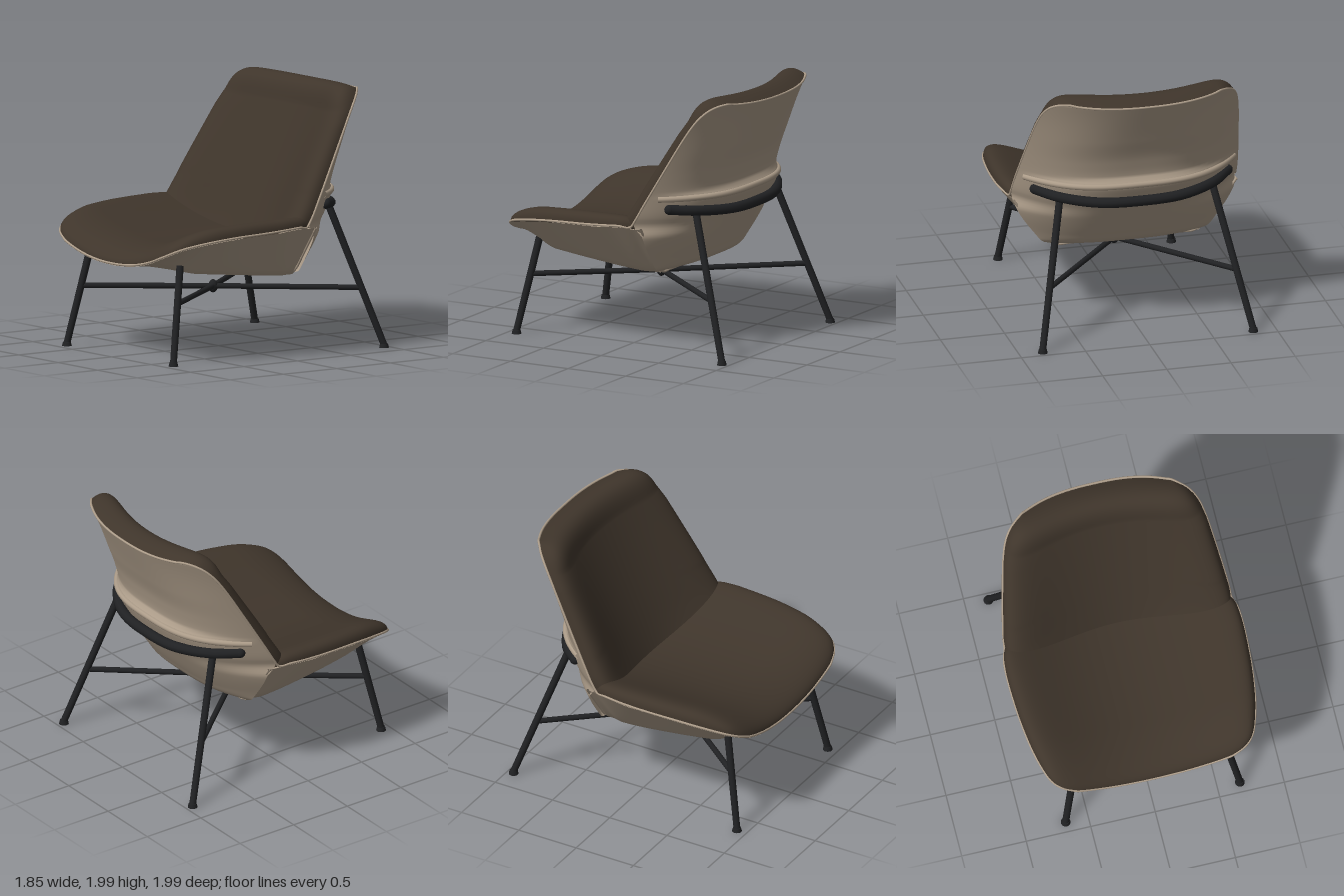
import * as THREE from 'three';

const mat = (name, color, side = THREE.FrontSide) => {
  const m = new THREE.MeshStandardMaterial({ color, side });
  m.name = name;
  return m;
};

// Smooth interpolation through [key, value] pairs with ascending keys, no overshoot.
function curve(pts) {
  const n = pts.length;
  const slope = (i) => (pts[i + 1][1] - pts[i][1]) / (pts[i + 1][0] - pts[i][0]);
  const tan = pts.map((_, i) => {
    if (i === 0) return slope(0);
    if (i === n - 1) return slope(n - 2);
    const a = slope(i - 1), b = slope(i);
    return a * b <= 0 ? 0 : (2 * a * b) / (a + b);
  });
  return (k) => {
    if (k <= pts[0][0]) return pts[0][1];
    if (k >= pts[n - 1][0]) return pts[n - 1][1];
    let i = 0;
    while (k > pts[i + 1][0]) i++;
    const h = pts[i + 1][0] - pts[i][0], t = (k - pts[i][0]) / h, s = 1 - t;
    return (1 + 2 * t) * s * s * pts[i][1] + t * s * s * h * tan[i]
      + t * t * (3 - 2 * t) * pts[i + 1][1] - t * t * s * h * tan[i + 1];
  };
}

// Surface from point(u, v), with u in -1..1 across and v in 0..1 along.
function surface(point, nu, nv) {
  const pos = [], index = [];
  for (let j = 0; j <= nv; j++) {
    const v = (1 - Math.cos((Math.PI * j) / nv)) / 2;
    for (let i = 0; i <= nu; i++) {
      pos.push(...point(Math.sin((i / nu - 0.5) * Math.PI), v));
      if (i < nu && j < nv) {
        const a = j * (nu + 1) + i, b = a + nu + 1;
        index.push(a, a + 1, b, a + 1, b + 1, b);
      }
    }
  }
  const g = new THREE.BufferGeometry();
  g.setAttribute('position', new THREE.Float32BufferAttribute(pos, 3));
  g.setIndex(index);
  g.computeVertexNormals();
  return g;
}

const { lerp, clamp, smoothstep } = THREE.MathUtils;
const V = (x, y, z) => new THREE.Vector3(x, y, z);

// Seat rules: half width, rim height and underside height along z
const seatW = curve([[-0.3, 0.75], [-0.25, 0.815], [-0.2, 0.87], [-0.1, 0.905], [0.05, 0.915], [0.3, 0.905],
  [0.6, 0.87], [0.8, 0.82], [0.9, 0.775], [0.96, 0.70], [0.99, 0.6]]);
const rimY = (x, z) => 0.71 + 0.26 * Math.abs(x / 0.9) ** 2.2 + 0.1 * Math.max(0, 0.1 - z);
const seatTop = (u, v) => {
  const z = lerp(-0.3, 0.99, v), x = u * seatW(z), r = rimY(x, z);
  const crown = 0.85 + 0.24 * (x / 0.8) ** 2;
  const t = clamp((0.99 - z) / 0.4, 0, 1);
  const puff = Math.sqrt(1 - (1 - t) ** 2) * Math.sqrt(Math.max(0, 1 - Math.abs(u) ** 8));
  return [x, r + (crown - r) * puff, z];
};
const seatUnder = (u, v) => {
  const z = lerp(-0.27, 0.99, v), w = seatW(Math.max(z, -0.2)), x = u * w;
  const base = lerp(0.6, 0.71, clamp((z + 0.15) / 1.1, 0, 1));
  const bucket = base + (rimY(w, z) - base) * clamp((Math.abs(u) - 0.66) / 0.34, 0, 1) ** 1.05;
  return [x, lerp(rimY(x, z), bucket, smoothstep(0.99 - z, 0, 0.35)) - 0.012, z];
};

// Back rules: half width, corner rounding, side edge and centre depth along y
const backW = curve([[0.595, 0.55], [0.62, 0.64], [0.66, 0.68], [0.97, 0.865], [1.05, 0.875], [1.2, 0.86],
  [1.6, 0.805], [1.8, 0.775], [2, 0.75]]);
const corner = curve([[1.72, 1], [1.82, 0.985], [1.88, 0.96], [1.93, 0.9], [1.95, 0.83], [1.957, 0.76]]);
const sideZ = curve([[0.595, -0.265], [0.9, -0.26], [1, -0.2], [1.05, -0.228], [2, -0.77]]);
const centreZ = curve([[0.595, -0.265], [0.605, -0.34], [0.64, -0.43], [0.72, -0.49], [0.9, -0.6], [1.13, -0.73],
  [1.22, -0.76], [1.235, -0.755], [1.25, -0.72], [1.4, -0.75], [1.6, -0.83], [1.94, -0.98]]);
const shellZ = (x, y) => {
  const s = Math.min(1, Math.abs(x) / backW(y));
  return lerp(centreZ(y), sideZ(y), s ** lerp(3, 2.5, smoothstep(y, 1.4, 1.9)));
};
const topY = (u) => 1.928 + 0.029 * u * u;
const backShell = (u, v) => {
  const y = lerp(0.595, topY(u), v), x = u * backW(y) * corner(y);
  return [x, y, shellZ(x, y) - 0.01];
};
const backFront = (u, v) => {
  const top = topY(u), y = lerp(0.8 + 0.2 * u * u, top, v);
  const x = u * backW(y) * corner(y), s = x / backW(y), b = shellZ(x, y);
  const k = (y - 0.85) / 1.05;
  const face = lerp(-0.24, -0.74, k) + lerp(0.41, 0.2, k) * s * s;
  const t = clamp((top - y) / 0.13, 0, 1);
  const roll = Math.sqrt(1 - (1 - t) ** 3), edge = Math.sqrt(Math.max(0, 1 - Math.abs(u) ** 8));
  // the top edge swells upward as it rolls forward
  return [x, y + 0.13 * roll * edge * (1 - t), b + (face - b) * roll * edge];
};

export function createModel() {
  const model = new THREE.Group();
  model.name = 'loungeChair';
  const upholstery = mat('dark brown upholstery', 0x3f352b, THREE.DoubleSide);
  const shell = mat('taupe shell', 0xac9c89, THREE.DoubleSide);
  const metal = mat('black metal', 0x202123);

  const add = (name, geometry, material) => {
    const m = new THREE.Mesh(geometry, material);
    m.name = name;
    model.add(m);
    return m;
  };
  const rod = (name, a, b, ra, rb = ra) => {
    const m = add(name, new THREE.CylinderGeometry(rb, ra, a.distanceTo(b), 16), metal);
    m.position.copy(a).lerp(b, 0.5);
    m.quaternion.setFromUnitVectors(V(0, 1, 0), b.clone().sub(a).normalize());
  };
  const ball = (name, p, r) => {
    const m = add(name, new THREE.SphereGeometry(r, 18, 14), metal);
    m.position.copy(p);
    return m;
  };
  const tube = (name, pts, r, material, closed = false) =>
    add(name, new THREE.TubeGeometry(new THREE.CatmullRomCurve3(pts, closed), pts.length * 4, r, 10, closed), material);

  // Upholstery and moulded shell
  add('seatCushion', surface(seatTop, 48, 56), upholstery);
  add('backCushion', surface(backFront, 48, 72), upholstery);
  add('seatShell', surface(seatUnder, 48, 48), shell);
  add('backShell', surface(backShell, 48, 90), shell);

  // Piping round the whole rim: one half from front centre to top centre, then mirrored
  const half = [];
  for (let i = 0; i <= 8; i++) half.push(V(0.6 * i / 8, rimY(0.6 * i / 8, 0.99), 0.99));
  for (const z of [0.98, 0.96, 0.93, 0.88, 0.8, 0.65, 0.45, 0.2, 0, -0.1, -0.18]) {
    half.push(V(seatW(z), rimY(seatW(z), z), z));
  }
  for (const y of [1.05, 1.15, 1.3, 1.5, 1.65, 1.76, 1.84, 1.9, 1.93, 1.947]) {
    const x = backW(y) * corner(y);
    half.push(V(x, y, shellZ(x, y)));
  }
  for (let i = 8; i >= 0; i--) half.push(V(...backShell(i / 8, 1)));
  const mirrored = half.slice(1, -1).reverse().map((p) => V(-p.x, p.y, p.z));
  tube('rimPiping', [...half, ...mirrored], 0.009, shell, true);

  // Raised lip where the lower bucket meets the backrest, and the seam under the seat
  const lip = [], seam = [];
  for (let i = -12; i <= 12; i++) {
    const x = 0.815 * Math.sin((i / 24) * Math.PI);
    lip.push(V(x, 1.212, shellZ(x, 1.212) - 0.002));
    seam.push(V(...seatUnder(Math.sin((i / 24) * Math.PI), 0)));
  }
  tube('bucketLip', lip, 0.024, shell);
  tube('shellSeam', seam, 0.01, shell);

  // Curved support bar behind the back
  const bar = [[-0.75, 1.13, -0.45], [-0.6, 1.11, -0.605], [-0.32, 1.09, -0.745], [0, 1.085, -0.775],
    [0.32, 1.09, -0.745], [0.6, 1.11, -0.605], [0.75, 1.13, -0.45]].map((p) => V(...p));
  tube('backSupportBar', bar, 0.04, metal);

  // Legs, feet and crossed stretchers
  const hub = V(0, 0.46, 0.05);
  for (const s of [-1, 1]) {
    const side = s > 0 ? 'Left' : 'Right';
    ball('barEnd' + side, V(s * 0.75, 1.13, -0.45), 0.04);
    const legs = [
      ['front', V(s * 0.675, 0.02, 0.92), V(s * 0.57, 0.74, 0.78)],
      ['rear', V(s * 0.82, 0.02, -0.945), V(s * 0.59, 1.11, -0.585)],
    ];
    for (const [name, foot, top] of legs) {
      rod(name + 'Leg' + side, foot, top, 0.026, 0.028);
      add(name + 'Foot' + side, new THREE.CylinderGeometry(0.03, 0.037, 0.03, 18), metal)
        .position.set(foot.x, 0.015, foot.z);
      const joint = foot.clone().lerp(top, (hub.y - foot.y) / (top.y - foot.y));
      rod(name + 'Stretcher' + side, joint, hub, 0.021);
    }
  }
  ball('stretcherHub', hub, 0.05).scale.set(0.72, 1, 0.72);
  return model;
}
